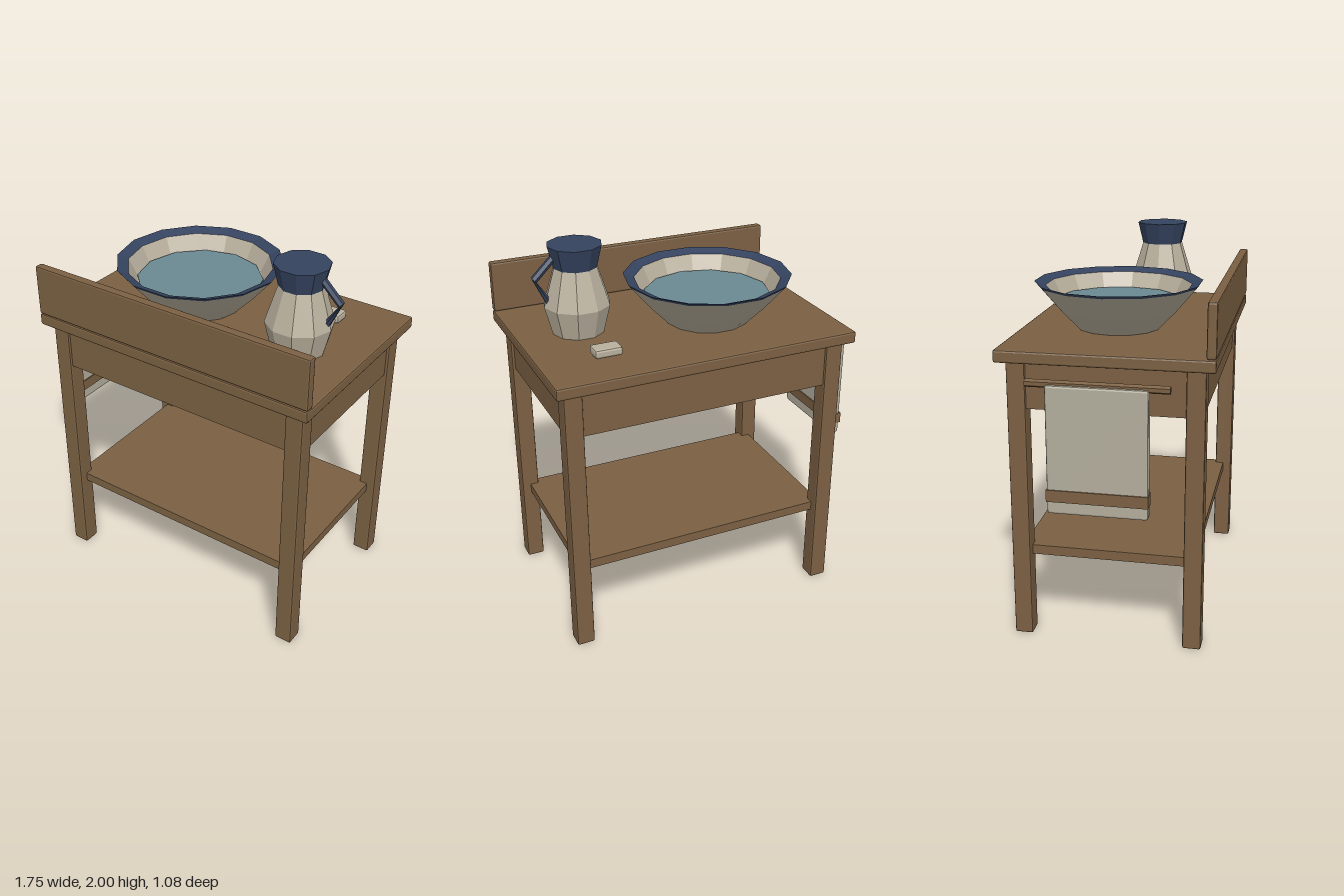
import * as THREE from 'three';
import { RoundedBoxGeometry } from 'three/addons/geometries/RoundedBoxGeometry.js';

const material = (name, color, side = THREE.FrontSide) => {
  const m = new THREE.MeshStandardMaterial({ color, flatShading: true, side });
  m.name = name;
  return m;
};

export function createModel() {
  const wood = material('wood', 0x7b6042);
  const cream = material('cream ceramic', 0xb9b09d, THREE.DoubleSide);
  const linen = material('linen', 0xb3ae9d);
  const blue = material('blue glaze', 0x35435f, THREE.DoubleSide);
  const water = material('water', 0x6b8891);

  const model = new THREE.Group();
  model.name = 'washstand';

  const add = (name, geometry, mat, parent = model) => {
    const mesh = new THREE.Mesh(geometry, mat);
    mesh.name = name;
    parent.add(mesh);
    return mesh;
  };

  // Box given by its lower and upper limits, with an optional chamfer
  const box = (name, [x0, x1], [y0, y1], [z0, z1], mat, bevel = 0) => {
    const size = [x1 - x0, y1 - y0, z1 - z0];
    const geometry = bevel ? new RoundedBoxGeometry(...size, 1, bevel) : new THREE.BoxGeometry(...size);
    add(name, geometry, mat).position.set((x0 + x1) / 2, (y0 + y1) / 2, (z0 + z1) / 2);
  };

  // Faceted turned shape with a corner on the x axis
  const turned = (name, profile, sides, mat, parent) =>
    add(name, new THREE.LatheGeometry(profile.map(p => new THREE.Vector2(...p)), sides, Math.PI / 2), mat, parent);

  // Stand
  box('tableTop', [-0.735, 0.873], [1.475, 1.538], [-0.538, 0.538], wood, 0.01);
  box('splashBoard', [-0.735, 0.873], [1.54, 1.81], [0.49, 0.538], wood, 0.01);
  box('apron', [-0.675, 0.81], [1.235, 1.48], [-0.475, 0.475], wood);
  box('shelf', [-0.643, 0.778], [0.44, 0.49], [-0.442, 0.442], wood);
  for (const x of [-0.643, 0.778])
    for (const z of [-0.442, 0.442])
      box('leg', [x - 0.0475, x + 0.0475], [0, 1.48], [z - 0.0475, z + 0.0475], wood, 0.01);

  // Towel on its rail
  const rail = add('towelRail', new THREE.CylinderGeometry(0.02, 0.02, 0.69, 6), wood);
  rail.rotation.x = Math.PI / 2;
  rail.position.set(-0.845, 1.42, 0);
  box('towel', [-0.873, -0.817], [0.775, 1.42], [-0.247, 0.247], linen, 0.012);
  box('towelStripe', [-0.88, -0.81], [0.84, 0.9], [-0.249, 0.249], wood);

  // Basin with a glazed rim and water
  const basin = new THREE.Group();
  basin.name = 'basin';
  basin.position.set(-0.125, 1.538, -0.043);
  model.add(basin);
  turned('basinOutside', [[0, 0.002], [0.22, 0.002], [0.32, 0.105], [0.425, 0.228]], 14, cream, basin);
  turned('basinRim', [[0.425, 0.228], [0.437, 0.243], [0.38, 0.222]], 14, blue, basin);
  turned('basinInside', [[0.38, 0.222], [0.335, 0.13], [0.2, 0.03], [0, 0.03]], 14, cream, basin);
  add('water', new THREE.CylinderGeometry(0.33, 0.33, 0.008, 12), water, basin).position.y = 0.142;

  // Jug with glazed neck and handle
  const jug = new THREE.Group();
  jug.name = 'jug';
  jug.position.set(0.548, 0, 0.074);
  model.add(jug);
  turned('jugBody', [[0, 1.54], [0.135, 1.54], [0.173, 1.69], [0.112, 1.885]], 10, cream, jug);
  turned('jugNeck', [[0.112, 1.885], [0.14, 2], [0, 2]], 10, blue, jug);
  const path = new THREE.CurvePath();
  const [a, b, c] = [[0.11, 1.945], [0.22, 1.838], [0.145, 1.715]].map(p => new THREE.Vector3(...p, 0));
  path.add(new THREE.LineCurve3(a, b));
  path.add(new THREE.LineCurve3(b, c));
  add('jugHandle', new THREE.TubeGeometry(path, 2, 0.019, 6), blue, jug);

  // Soap
  box('soap', [0.458, 0.6], [1.545, 1.59], [-0.322, -0.23], cream, 0.012);

  return model;
}
